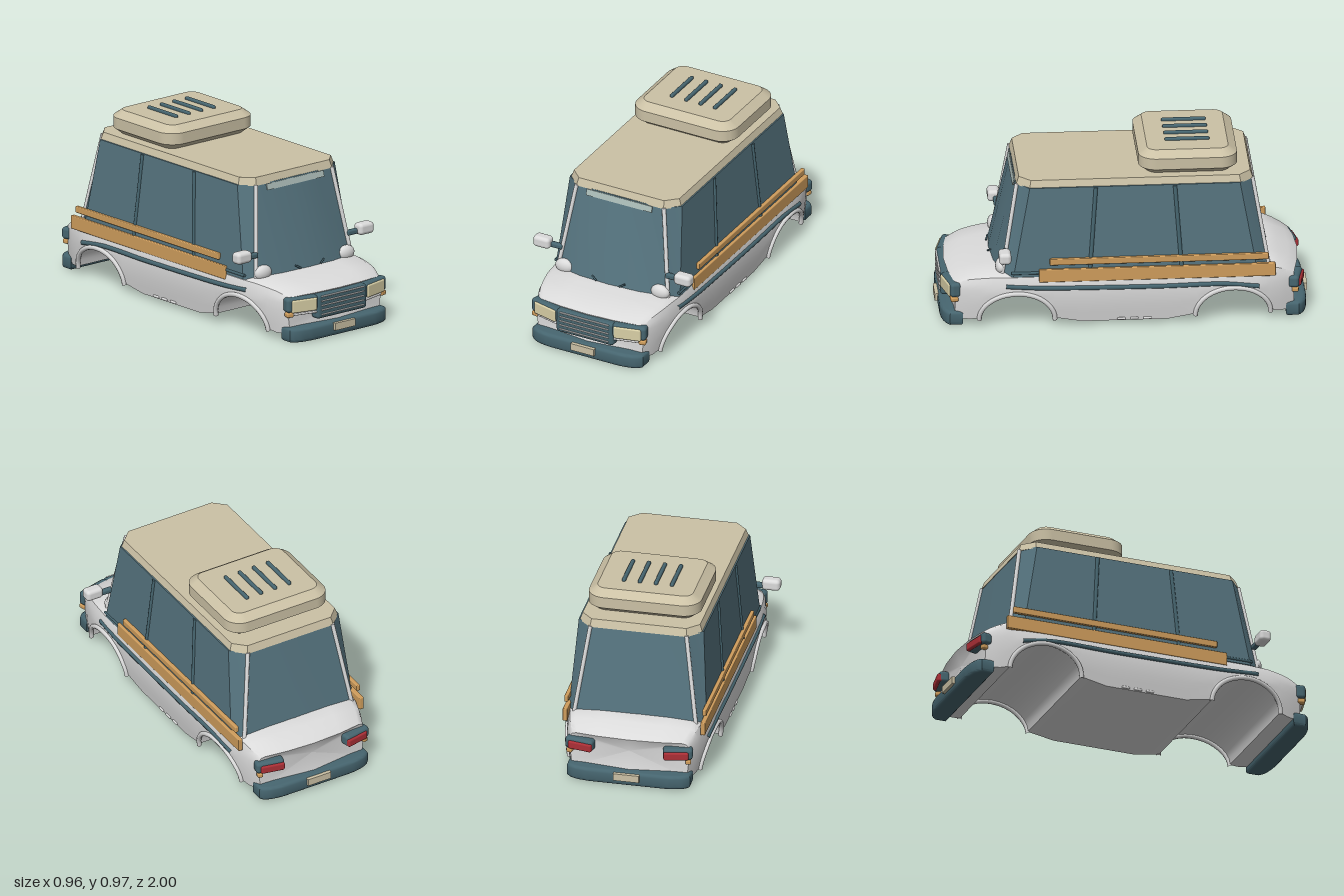
import * as THREE from 'three';
import { toCreasedNormals } from 'three/addons/utils/BufferGeometryUtils.js';
import { RoundedBoxGeometry } from 'three/addons/geometries/RoundedBoxGeometry.js';

const mat = (name, color) => Object.assign(new THREE.MeshStandardMaterial({ color }), { name });
const V = (x, y, z) => new THREE.Vector3(x, y, z);

// Piecewise linear lookup in [[key, value], ...] with rising keys
function lookup(table, k) {
  if (k <= table[0][0]) return table[0][1];
  for (let i = 1; i < table.length; i++) {
    const [a, va] = table[i - 1], [b, vb] = table[i];
    if (k <= b) return va + (vb - va) * (k - a) / (b - a);
  }
  return table[table.length - 1][1];
}

// Half a ring (x >= 0, from centre line to centre line) mirrored into a full ring
const mirrorRing = half => half.concat(half.filter(p => p[0] > 0).reverse().map(([x, y, z]) => [-x, y, z]));

// Closed skin through rings of equal length, with both ends capped
function loft(rings, crease) {
  const n = rings[0].length, pos = rings.flat(2), idx = [];
  for (let s = 0; s < rings.length - 1; s++) {
    for (let j = 0; j < n; j++) {
      const k = (j + 1) % n, a = s * n, b = a + n;
      idx.push(a + j, b + j, b + k, a + j, b + k, a + k);
    }
  }
  for (const s of [0, rings.length - 1]) {
    const centre = pos.length / 3, r = rings[s];
    const mean = i => r.reduce((sum, p) => sum + p[i], 0) / n;
    pos.push(0, mean(1), mean(2));
    for (let j = 0; j < n; j++) {
      const a = s * n + j, b = s * n + (j + 1) % n;
      idx.push(centre, ...(s ? [b, a] : [a, b]));
    }
  }
  const g = new THREE.BufferGeometry();
  g.setAttribute('position', new THREE.Float32BufferAttribute(pos, 3));
  g.setIndex(idx);
  return toCreasedNormals(g, crease);
}

// Lower body rules: half width and crown height along z, side bulge along y
const WIDTH = [[0, 0.395], [0.6, 0.395], [0.72, 0.385], [0.82, 0.365], [0.92, 0.342], [0.95, 0.328]];
const CROWN = [[-0.95, 0.262], [-0.92, 0.285], [-0.78, 0.335], [-0.6, 0.32], [0.6, 0.315], [0.7, 0.315],
  [0.82, 0.297], [0.92, 0.27], [0.95, 0.252]];
const BULGE = [[0.02, 0.945], [0.12, 0.985], [0.2, 1], [0.24, 0.99]];
const width = z => lookup(WIDTH, Math.abs(z));
const sideX = (z, y) => width(z) * lookup(BULGE, y);
const ARCH_Z = 0.58, ARCH_RZ = 0.2, ARCH_RY = 0.155, ARCH_Y = 0.05;

function bodyRing([z, yb]) {
  const w = width(z), top = lookup(CROWN, z), half = [[0, yb]];
  for (let i = 0; i <= 4; i++) {
    const y = yb + (0.215 - yb) * i / 4;
    half.push([sideX(z, y), y]);
  }
  for (const [fx, fy] of [[0.985, 0.4], [0.955, 0.72], [0.88, 0.88], [0.5, 0.96], [0, 1]]) {
    half.push([w * fx, 0.215 + (top - 0.215) * fy]);
  }
  // Bow the nose and tail in plan
  const bow = 0.045 * Math.sign(z) * THREE.MathUtils.smoothstep(Math.abs(z), 0.8, 0.95);
  return mirrorRing(half.map(([x, y]) => [x, y, z - bow * (x / 0.34) ** 2]));
}

function bodyGeometry() {
  const arch = c => Array.from({ length: 15 }, (_, i) => {
    const t = Math.PI * i / 14;
    return [c + ARCH_RZ * Math.cos(t), ARCH_Y + ARCH_RY * Math.sin(t)];
  });
  const stations = [[0.95, 0.05], [0.935, 0.04], [0.9, 0.04], [0.84, 0.04], ...arch(ARCH_Z),
    [0.23, 0.022], [0, 0.022], [-0.23, 0.022], ...arch(-ARCH_Z),
    [-0.84, 0.04], [-0.9, 0.04], [-0.935, 0.04], [-0.95, 0.05]];
  return loft(stations.map(bodyRing), 0.6);
}

// Bumper: curved plan outline extruded upwards
function bumperGeometry() {
  const s = new THREE.Shape();
  s.moveTo(-0.32, 0.885);
  s.lineTo(0.32, 0.885);
  s.lineTo(0.32, 0.93);
  s.quadraticCurveTo(0.3, 0.96, 0.2, 0.966);
  s.lineTo(-0.2, 0.966);
  s.quadraticCurveTo(-0.3, 0.96, -0.32, 0.93);
  const g = new THREE.ExtrudeGeometry(s, { depth: 0.044, bevelSize: 0.018, bevelThickness: 0.018, bevelSegments: 3, curveSegments: 8 });
  return toCreasedNormals(g.rotateX(Math.PI / 2).translate(0, 0.063, 0), 0.6);
}

// Roof box: rounded rectangle with a wide chamfer above and below
function roofBoxGeometry() {
  const s = new THREE.Shape(), w = 0.262, d = 0.218, r = 0.05;
  s.absarc(w - r, d - r, r, 0, Math.PI / 2);
  s.absarc(r - w, d - r, r, Math.PI / 2, Math.PI);
  s.absarc(r - w, r - d, r, Math.PI, Math.PI * 1.5);
  s.absarc(w - r, r - d, r, Math.PI * 1.5, Math.PI * 2);
  const g = new THREE.ExtrudeGeometry(s, { depth: 0.062, bevelSize: 0.047, bevelThickness: 0.035, bevelSegments: 1, curveSegments: 6 });
  return toCreasedNormals(g.rotateX(-Math.PI / 2).translate(0, 0.863, -0.347), 0.5);
}

export function createModel() {
  const model = new THREE.Group();
  const white = mat('body white', 0xdadada), teal = mat('trim teal', 0x46656f), glass = mat('window glass', 0x55737e),
    tan = mat('roof tan', 0xcbc1a5), wood = mat('wood and amber', 0xcf9d5c), red = mat('tail red', 0xab2f36),
    cream = mat('headlight cream', 0xd8cfa6), pale = mat('sun band', 0xa9bab6);

  const add = (name, geo, m, x = 0, y = 0, z = 0, ry = 0) => {
    const mesh = new THREE.Mesh(geo, m);
    mesh.name = name;
    mesh.position.set(x, y, z);
    mesh.rotation.y = ry;
    model.add(mesh);
    return mesh;
  };
  const rbox = (w, h, d, r) => new RoundedBoxGeometry(w, h, d, 3, r);
  const strut = (name, a, b, r, m) => {
    const mesh = add(name, new THREE.CylinderGeometry(r, r, a.distanceTo(b), 10), m);
    mesh.position.copy(a).lerp(b, 0.5);
    mesh.quaternion.setFromUnitVectors(V(0, 1, 0), b.clone().sub(a).normalize());
  };
  const tube = (name, pts, r, m) =>
    add(name, new THREE.TubeGeometry(new THREE.CatmullRomCurve3(pts), 36, r, 8), m);

  add('body', bodyGeometry(), white);

  // Glass cabin, bowed at the windscreen, with cut corners
  const cabin = (y, pts) => mirrorRing(pts.map(([x, z]) => [x, y, z]));
  add('windows', loft([
    cabin(0.29, [[0, -0.79], [0.335, -0.775], [0.379, -0.71], [0.379, 0.6], [0.337, 0.655], [0.18, 0.7], [0, 0.715]]),
    cabin(0.79, [[0, -0.692], [0.262, -0.69], [0.343, -0.62], [0.343, 0.51], [0.265, 0.572], [0.14, 0.578], [0, 0.58]]),
  ], 0.3), glass);

  // Roof slab
  const slab = (y, k) => cabin(y, [[0, -0.695 + k], [0.267 - k * 0.5, -0.695 + k], [0.337 - k, -0.625 + k * 0.5],
    [0.337 - k, 0.51 - k * 0.5], [0.267 - k * 0.5, 0.578 - k], [0, 0.578 - k]]);
  add('roof', loft([slab(0.785, 0), slab(0.828, 0.015)], 0.3), tan);

  // Roof box and its ribs
  add('roofBox', roofBoxGeometry(), tan);
  for (const x of [-0.132, -0.044, 0.044, 0.132]) add('roofBoxRib', rbox(0.021, 0.03, 0.24, 0.009), teal, x, 0.96, -0.35);

  // Sun band on the windscreen
  add('sunBand', new THREE.BoxGeometry(0.4, 0.034, 0.006), pale, 0, 0.768, 0.586).rotation.x = -0.265;

  // Grille with slats
  add('grille', rbox(0.35, 0.136, 0.06, 0.018), teal, 0, 0.178, 0.947);
  for (let i = 0; i < 5; i++) add('grilleSlat', rbox(0.3, 0.007, 0.014, 0.003), white, 0, 0.134 + i * 0.025, 0.977);

  // Bumpers and plates, front and back
  for (const s of [1, -1]) {
    const ry = s > 0 ? 0 : Math.PI;
    add('bumper', bumperGeometry(), teal, 0, 0, 0, ry);
    add('plate', new THREE.BoxGeometry(0.142, 0.04, 0.02), tan, 0, 0.055, s * 0.99);
  }

  for (const s of [1, -1]) {
    // Pillars and window bars
    strut('frontPillar', V(s * 0.267, 0.79, 0.575), V(s * 0.336, 0.3, 0.657), 0.011, white);
    strut('rearPillar', V(s * 0.264, 0.79, -0.691), V(s * 0.335, 0.3, -0.775), 0.011, white);
    strut('windowBar', V(s * 0.342, 0.785, 0.155), V(s * 0.376, 0.3, 0.19), 0.011, teal);
    strut('windowBar', V(s * 0.342, 0.785, -0.27), V(s * 0.376, 0.3, -0.305), 0.011, teal);
    strut('windowSill', V(s * 0.376, 0.312, 0.61), V(s * 0.376, 0.312, -0.7), 0.008, teal);

    // Cowl corner and wiper
    add('cowlCorner', new THREE.SphereGeometry(1, 20, 12), white, s * 0.292, 0.325, 0.662).scale.set(0.055, 0.042, 0.03);
    strut('wiper', V(s * 0.07, 0.32, 0.715), V(s * 0.1, 0.338, 0.705), 0.005, teal);

    // Door mirror
    add('mirrorArm', rbox(0.09, 0.03, 0.03, 0.01), teal, s * 0.36, 0.424, 0.64);
    add('mirror', rbox(0.1, 0.064, 0.065, 0.02), white, s * 0.43, 0.435, 0.65);

    // Side planks
    add('lowerPlank', rbox(0.026, 0.074, 1.27, 0.005), wood, s * 0.378, 0.297, -0.173);
    add('upperPlank', rbox(0.022, 0.036, 1.176, 0.005), wood, s * 0.379, 0.375, -0.183);

    // Side moulding following the body
    const moulding = [[0.64, 0.24], [0.45, 0.228], [0.2, 0.223], [-0.2, 0.22], [-0.55, 0.222], [-0.72, 0.2]];
    tube('sideMoulding', moulding.map(([z, y]) => V(s * (sideX(z, y) - 0.002), y, z)), 0.013, teal);

    // Wheel arch lips
    for (const c of [ARCH_Z, -ARCH_Z]) {
      const pts = Array.from({ length: 15 }, (_, i) => {
        const t = Math.PI * i / 14, z = c + (ARCH_RZ + 0.003) * Math.cos(t);
        const y = 0.04 + (ARCH_RY + 0.005) * Math.sin(t);
        return V(s * (sideX(z, y) + 0.003), y, z);
      });
      tube('wheelArch', pts, 0.013, white);
    }

    // Sill vents
    for (const z of [0.02, -0.05, -0.12]) add('sillVent', rbox(0.016, 0.014, 0.045, 0.006), white, s * 0.375, 0.032, z);

    // Headlight, chrome strip and indicator
    add('headlightFrame', rbox(0.19, 0.08, 0.06, 0.018), teal, s * 0.252, 0.206, 0.925, s * 0.24);
    add('headlight', rbox(0.152, 0.07, 0.03, 0.008), cream, s * 0.249, 0.2, 0.948, s * 0.24);
    add('frontStrip', rbox(0.17, 0.012, 0.03, 0.005), white, s * 0.24, 0.152, 0.935, s * 0.24);
    add('frontIndicator', rbox(0.04, 0.026, 0.04, 0.008), wood, s * 0.325, 0.153, 0.915, s * 0.24);

    // Tail light
    add('tailFrame', rbox(0.16, 0.066, 0.06, 0.018), teal, s * 0.268, 0.2, -0.92, -s * 0.2);
    add('tailLight', rbox(0.135, 0.046, 0.04, 0.01), red, s * 0.262, 0.194, -0.942, -s * 0.2);
    add('rearIndicator', rbox(0.03, 0.026, 0.035, 0.008), wood, s * 0.325, 0.153, -0.918, -s * 0.2);
  }
  return model;
}
